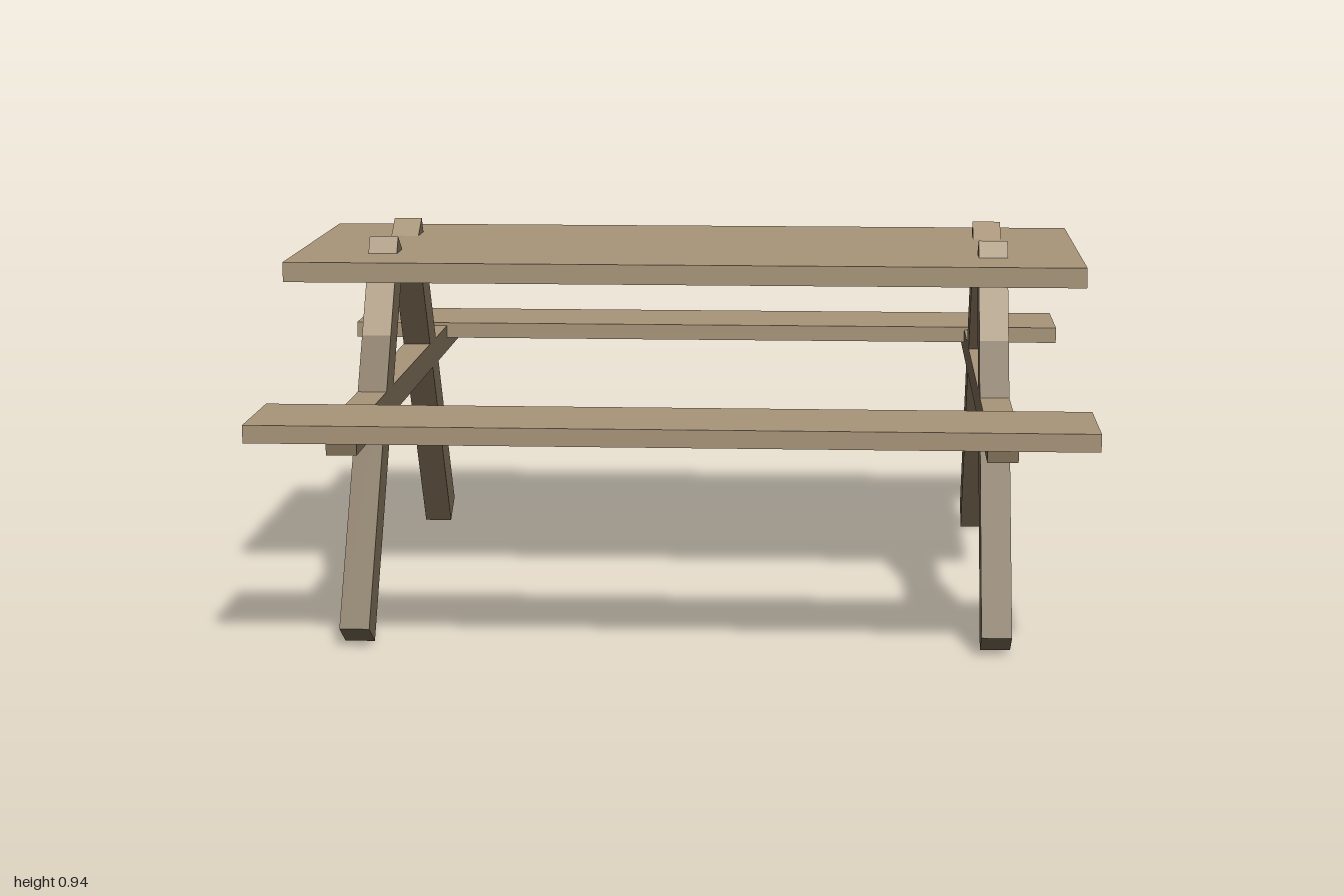
import * as THREE from 'three';

export function createModel() {
  const light = new THREE.MeshStandardMaterial({ color: 0xa8957a });
  light.name = 'light wood';
  const dark = new THREE.MeshStandardMaterial({ color: 0x7e6e57 });
  dark.name = 'dark wood';

  const table = new THREE.Group();
  table.name = 'picnicTable';

  function addBox(parent, name, size, position, material) {
    const mesh = new THREE.Mesh(new THREE.BoxGeometry(...size), material);
    mesh.name = name;
    mesh.position.set(...position);
    parent.add(mesh);
    return mesh;
  }

  // Planks: one wide top and a bench on either side
  addBox(table, 'tableTop', [2, 0.05, 0.826], [0, 0.875, 0], light);
  addBox(table, 'frontBench', [2, 0.043, 0.284], [0, 0.564, 0.8], light);
  addBox(table, 'backBench', [2, 0.043, 0.284], [0, 0.564, -0.8], light);

  // Sloping leg: local y runs up the leg, local z points outward
  const thickness = 0.073, width = 0.095, lower = 0.775, upper = 0.275;
  function makeLeg(name, x) {
    const leg = new THREE.Group();
    leg.name = name;
    addBox(leg, 'lowerLeg', [thickness, lower, width], [0, lower / 2, 0], dark);
    // The upper part has a pale outer face and a pale end that pokes through the top
    addBox(leg, 'upperLeg', [thickness, upper, width], [0, lower + upper / 2, 0],
      [dark, dark, light, dark, light, dark]);
    leg.position.set(x, 0.025, 0.7225);
    leg.rotation.x = -0.5586;
    return leg;
  }

  // Two legs on each long side; the back pair is the front pair turned round
  for (const side of ['front', 'back']) {
    const pair = new THREE.Group();
    pair.name = side + 'Legs';
    pair.add(makeLeg(side + 'LegA', 0.777), makeLeg(side + 'LegB', -0.777));
    if (side === 'back') pair.rotation.y = Math.PI;
    table.add(pair);
  }

  // Cross beams carrying the benches, pale on top
  for (const [name, x] of [['leftCrossBeam', 0.777], ['rightCrossBeam', -0.777]]) {
    addBox(table, name, [thickness, 0.072, 1.776], [x, 0.541, 0],
      [dark, dark, light, dark, dark, dark]);
  }

  return table;
}
